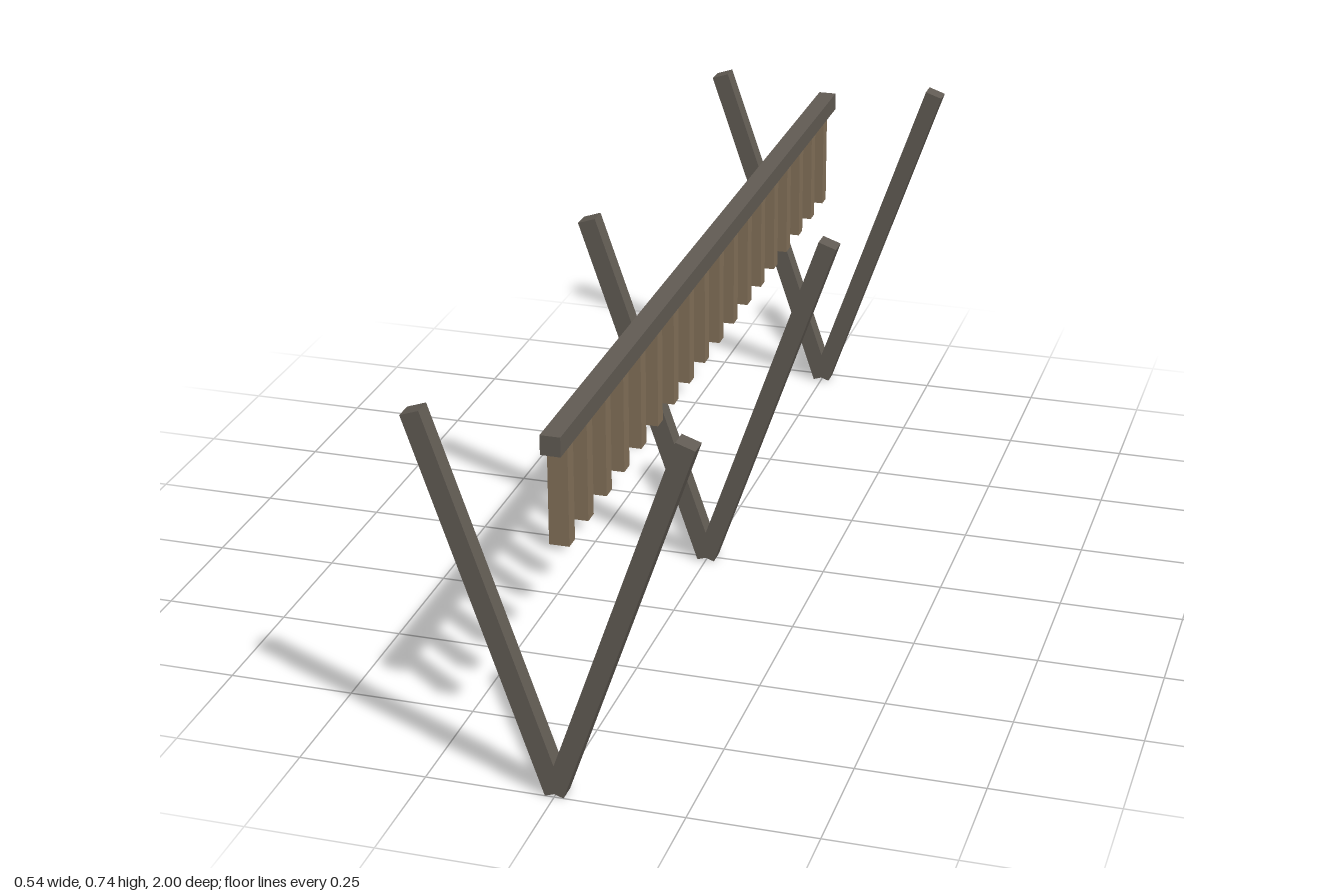
import * as THREE from 'three';

export function createModel() {
  const group = new THREE.Group();
  const darkWood = new THREE.MeshStandardMaterial({ color: 0x625c54 });
  const lightWood = new THREE.MeshStandardMaterial({ color: 0x84725a });
  const T = 0.038; // timber thickness

  const addBox = (name, size, position, material, parent = group) => {
    const mesh = new THREE.Mesh(new THREE.BoxGeometry(...size), material);
    mesh.name = name;
    mesh.position.set(...position);
    parent.add(mesh);
    return mesh;
  };

  // Three V-shaped frames, each of two leaning posts meeting at the ground
  const foot = new THREE.Vector2(0, 0.0063), tip = new THREE.Vector2(0.2515, 0.735);
  const length = foot.distanceTo(tip);
  const lean = Math.atan2(tip.x - foot.x, tip.y - foot.y);
  [['front', 0.981], ['middle', 0], ['back', -0.981]].forEach(([place, z]) => {
    const frame = new THREE.Group();
    frame.name = place + 'Frame';
    frame.position.z = z;
    group.add(frame);
    for (const side of [1, -1]) {
      const post = addBox(side > 0 ? 'leftPost' : 'rightPost', [T, length, T],
        [side * tip.x / 2, (foot.y + tip.y) / 2, 0], darkWood, frame);
      post.rotation.z = -side * lean;
    }
  });

  // Long beam running between the frames
  addBox('beam', [T, T, 1.956], [0, 0.694, 0], darkWood);

  // Row of slats hanging under the beam
  for (let i = 0; i < 18; i++) {
    addBox('hangingSlat', [T, 0.191, 0.031], [0, 0.5795, 0.926 - i * 0.1065], lightWood);
  }
  return group;
}
